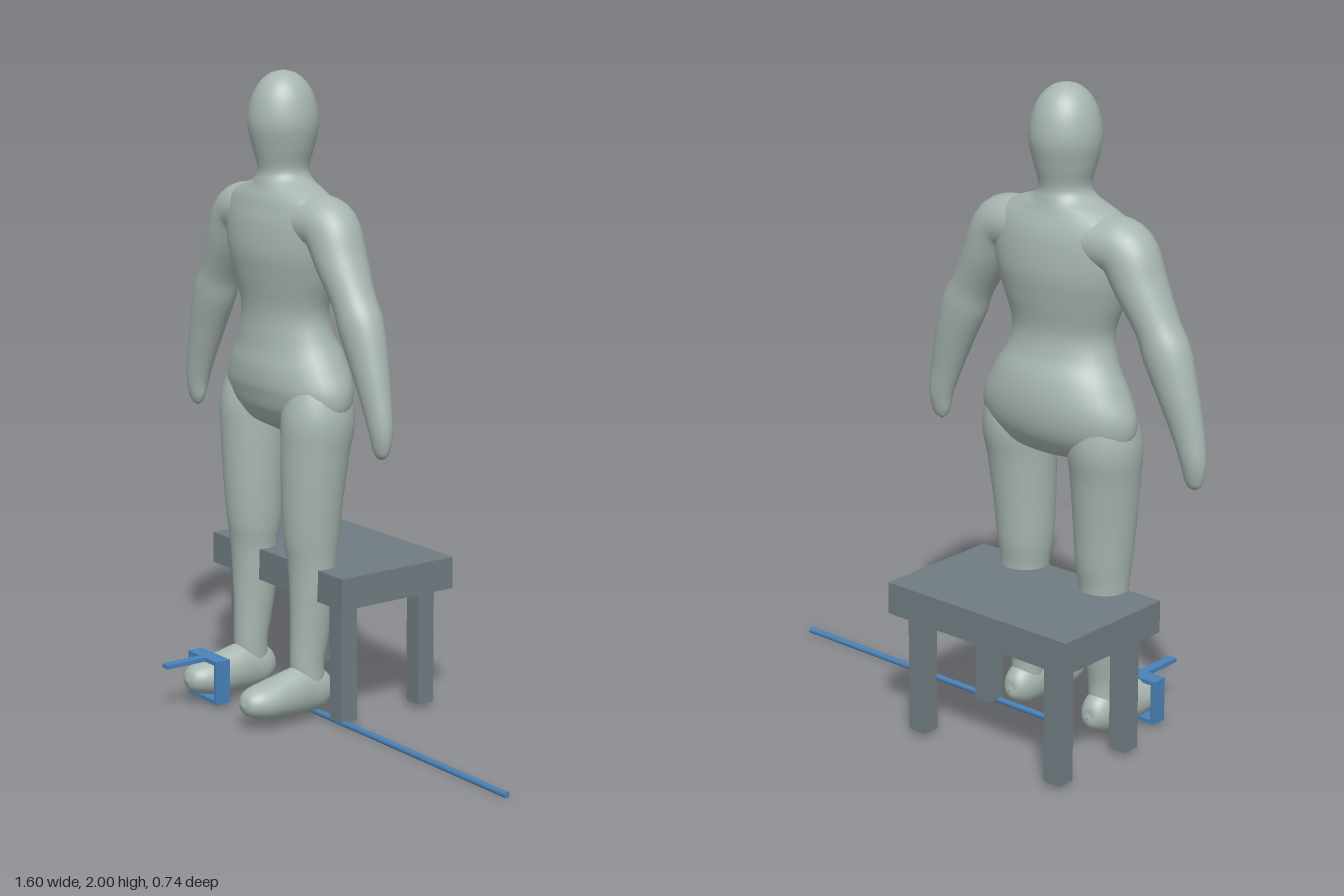
import * as THREE from 'three';

const CENTER = -0.275; // figure's middle line

function material(name, color) {
  const m = new THREE.MeshStandardMaterial({ color });
  m.name = name;
  return m;
}

// Smooth loft through sections [x, y, z, halfWidth, halfDepth]; depth runs along ref.
function loft(sections, ref = new THREE.Vector3(0, 0, 1), sides = 36, steps = 5) {
  const path = new THREE.CatmullRomCurve3(
    sections.map(s => new THREE.Vector3(s[0], s[1], s[2])), false, 'catmullrom');
  const radii = new THREE.CatmullRomCurve3(
    sections.map(s => new THREE.Vector3(s[3], s[4], 0)), false, 'catmullrom');
  const rows = (sections.length - 1) * steps;
  const pos = [], index = [];
  for (let i = 0; i <= rows; i++) {
    const c = path.getPoint(i / rows), r = radii.getPoint(i / rows);
    const t = path.getTangent(i / rows);
    const v = ref.clone().addScaledVector(t, -ref.dot(t)).normalize();
    const u = v.clone().cross(t);
    for (let j = 0; j < sides; j++) {
      const a = (j / sides) * Math.PI * 2;
      const p = c.clone()
        .addScaledVector(u, Math.cos(a) * Math.max(r.x, 0.001))
        .addScaledVector(v, Math.sin(a) * Math.max(r.y, 0.001));
      pos.push(p.x, p.y, p.z);
      if (i < rows) {
        const k = (j + 1) % sides, A = i * sides, B = A + sides;
        index.push(A + j, A + k, B + j, A + k, B + k, B + j);
      }
    }
  }
  const g = new THREE.BufferGeometry();
  g.setAttribute('position', new THREE.Float32BufferAttribute(pos, 3));
  g.setIndex(index);
  g.computeVertexNormals();
  return g;
}

export function createModel() {
  const model = new THREE.Group();
  model.name = 'figureWithBench';
  const skin = material('pale grey green', 0xa8b6b0);
  const benchGrey = material('slate grey', 0x707c82);
  const blue = material('steel blue', 0x4a82b8);

  const add = (parent, name, geometry, mat) => {
    const mesh = new THREE.Mesh(geometry, mat);
    mesh.name = name;
    parent.add(mesh);
    return mesh;
  };
  // Box given by its lower and upper corners
  const box = (parent, name, mat, x0, x1, y0, y1, z0, z1) =>
    add(parent, name, new THREE.BoxGeometry(x1 - x0, y1 - y0, z1 - z0), mat)
      .position.set((x0 + x1) / 2, (y0 + y1) / 2, (z0 + z1) / 2);

  // Figure
  const figure = new THREE.Group();
  figure.name = 'figure';
  figure.position.x = CENTER;
  model.add(figure);

  // Head, neck and torso: [y, z, halfWidth, halfDepth]
  const trunk = [
    [2.0, 0.02, 0.002, 0.002], [1.99, 0.02, 0.038, 0.04], [1.96, 0.02, 0.072, 0.075],
    [1.91, 0.02, 0.096, 0.1], [1.84, 0.02, 0.106, 0.11], [1.77, 0.02, 0.093, 0.096],
    [1.705, 0.02, 0.077, 0.08], [1.67, 0.02, 0.1, 0.086], [1.645, 0.02, 0.17, 0.093],
    [1.61, 0.02, 0.235, 0.107], [1.55, 0.018, 0.252, 0.124], [1.46, 0.018, 0.238, 0.132],
    [1.38, 0.018, 0.212, 0.122], [1.28, 0.018, 0.177, 0.107], [1.2, 0.014, 0.192, 0.117],
    [1.12, 0.005, 0.235, 0.14], [1.04, 0.001, 0.272, 0.143], [0.97, 0.008, 0.262, 0.122],
    [0.92, 0.015, 0.19, 0.085], [0.895, 0.018, 0.06, 0.03], [0.89, 0.018, 0.002, 0.002],
  ];
  add(figure, 'headAndTorso', loft(trunk.map(([y, z, w, d]) => [0, y, z, w, d])), skin);

  const arm = [
    [0.05, 1.56, 0.015, 0.08, 0.1], [0.16, 1.557, 0.015, 0.085, 0.095],
    [0.237, 1.54, 0.015, 0.087, 0.088], [0.29, 1.45, 0.015, 0.076, 0.082],
    [0.35, 1.345, 0.015, 0.066, 0.068], [0.388, 1.267, 0.015, 0.073, 0.067],
    [0.428, 1.165, 0.015, 0.063, 0.057], [0.467, 1.05, 0.017, 0.05, 0.043],
    [0.487, 0.975, 0.017, 0.041, 0.035], [0.49, 0.92, 0.018, 0.032, 0.024],
    [0.488, 0.895, 0.018, 0.02, 0.014], [0.487, 0.885, 0.018, 0.002, 0.002],
  ];
  const leg = [
    [0.155, 1.08, 0.002, 0.085, 0.09], [0.165, 0.96, 0.012, 0.109, 0.115],
    [0.162, 0.85, 0.022, 0.104, 0.107], [0.157, 0.7, 0.029, 0.094, 0.096],
    [0.154, 0.58, 0.03, 0.085, 0.087], [0.156, 0.5, 0.03, 0.076, 0.075],
    [0.156, 0.4, 0.028, 0.071, 0.072], [0.154, 0.28, 0.037, 0.058, 0.063],
    [0.153, 0.19, 0.047, 0.051, 0.055], [0.155, 0.1, 0.045, 0.048, 0.055],
  ];
  // Foot, heel to toe
  const foot = [
    [0.155, 0.085, -0.04, 0.002, 0.002], [0.155, 0.085, -0.03, 0.03, 0.035],
    [0.155, 0.09, 0.005, 0.05, 0.064], [0.155, 0.098, 0.07, 0.056, 0.077],
    [0.155, 0.092, 0.14, 0.062, 0.07], [0.155, 0.088, 0.2, 0.066, 0.06],
    [0.155, 0.088, 0.25, 0.056, 0.049], [0.155, 0.088, 0.282, 0.035, 0.031],
    [0.155, 0.088, 0.295, 0.002, 0.002],
  ];
  const up = new THREE.Vector3(0, 1, 0);
  for (const [side, s] of [['left', 1], ['right', -1]]) {
    const mirrored = list => list.map(([x, ...rest]) => [s * x, ...rest]);
    add(figure, side + 'Arm', loft(mirrored(arm)), skin);
    add(figure, side + 'Leg', loft(mirrored(leg)), skin);
    add(figure, side + 'Foot', loft(mirrored(foot), up), skin);
  }

  // Bench behind the figure
  const bench = new THREE.Group();
  bench.name = 'bench';
  model.add(bench);
  box(bench, 'benchTop', benchGrey, -0.623, 0.073, 0.393, 0.493, -0.372, 0.057);
  for (const x of [-0.543, -0.006])
    for (const z of [-0.307, -0.007])
      box(bench, 'benchLeg', benchGrey, x - 0.03, x + 0.03, 0.017, 0.393, z - 0.03, z + 0.03);

  // Open frame around the right foot, with its forward handle
  const frame = new THREE.Group();
  frame.name = 'footFrame';
  model.add(frame);
  for (const x of [-0.511, -0.366])
    box(frame, 'frameUpright', blue, x, x + 0.013, 0.014, 0.155, 0.18, 0.232);
  for (const y of [0.014, 0.142])
    box(frame, 'frameBar', blue, -0.498, -0.366, y, y + 0.013, 0.18, 0.232);
  box(frame, 'frameHandle', blue, -0.446, -0.416, 0.142, 0.155, 0.232, 0.372);

  // Rod lying on the floor
  const rod = add(model, 'rod', new THREE.CylinderGeometry(0.01, 0.01, 1.075, 8), blue);
  rod.rotation.z = Math.PI / 2;
  rod.position.set(0.2625, 0.012, 0.009);

  return model;
}
